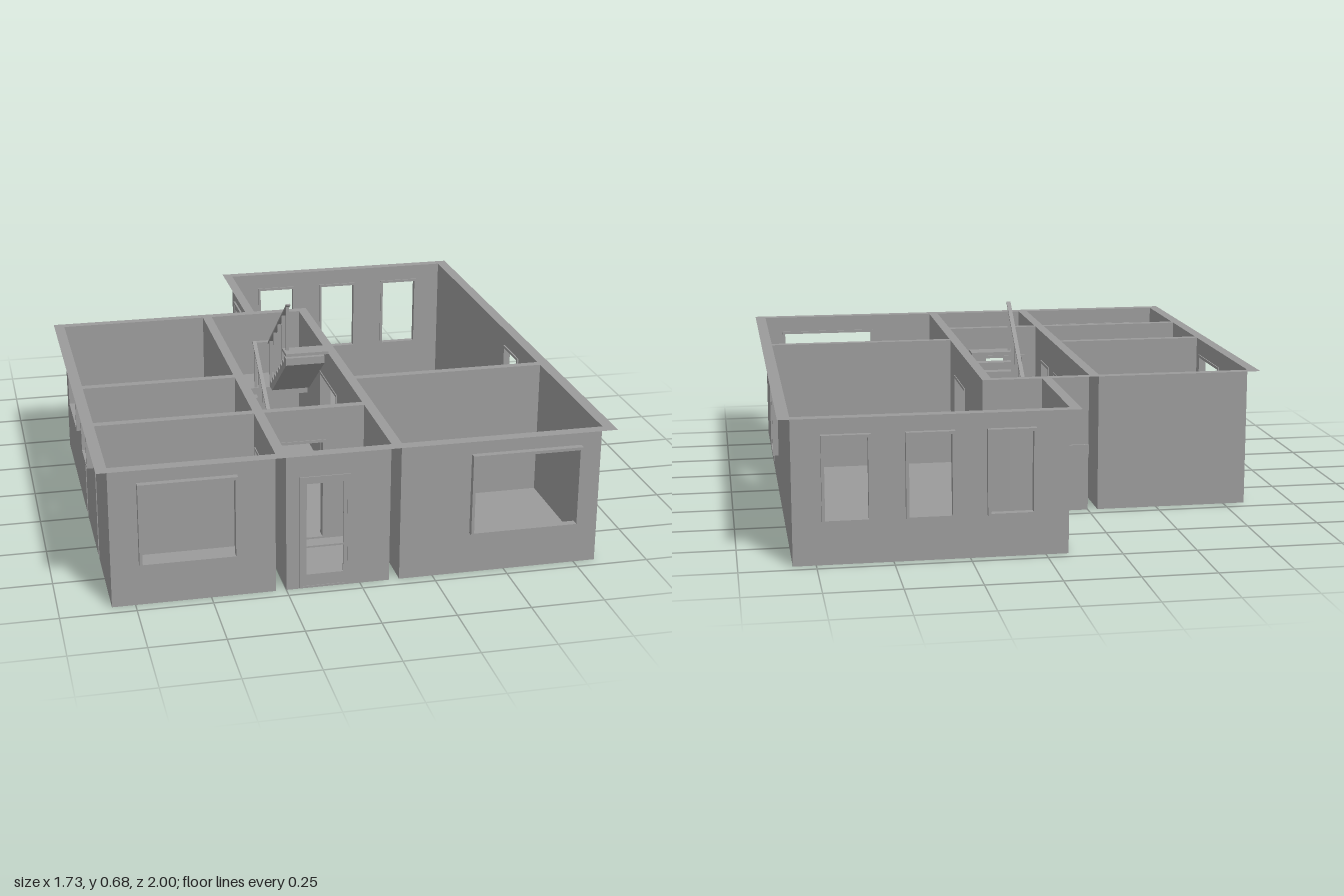
import * as THREE from 'three';

const mat = new THREE.MeshStandardMaterial({ color: 0x9b9b9b, side: THREE.DoubleSide });
const H = 0.49;

// Room outlines as [x, z] corners
const rect = (x0, x1, z0, z1) => [[x0, z0], [x1, z0], [x1, z1], [x0, z1]];
const rooms = {
  backBedroom: rect(-0.827, -0.285, -0.452, 0.21),
  bathroom: rect(-0.827, -0.285, 0.24, 0.57),
  frontBedroom: rect(-0.827, -0.285, 0.6, 0.96),
  hall: rect(-0.25, 0.1, -0.452, 0.57),
  entry: rect(-0.25, 0.1, 0.6, 0.96),
  study: rect(0.135, 0.825, 0.345, 0.96),
  livingRoom: [[-0.075, -0.963], [0.825, -0.963], [0.825, 0.315], [0.135, 0.315], [0.135, -0.485], [-0.075, -0.485]],
};
// The back bedroom floor stops just short of its rear wall
const floors = { ...rooms, backBedroom: rect(-0.827, -0.285, -0.441, 0.21) };

// Openings: name, axis the wall runs along, wall planes it cuts, span s0..s1, height y0..y1, frame depth range
const D = 0.003;
const openings = [
  ['frontBedroomWindow', 'x', [0.96], -0.735, -0.41, 0.145, 0.43, 0.955, 0.982],
  ['studyWindow', 'x', [0.96], 0.375, 0.755, 0.145, 0.43, 0.955, 0.982],
  ['frontDoorFrame', 'x', [0.96], -0.205, -0.035, D, 0.4, 0.953, 0.964],
  ['sideWindow', 'z', [0.825], -0.055, 0.11, 0.145, 0.43, 0.82, 0.845],
  ['backBedroomWindow', 'z', [-0.827], -0.1, 0.17, 0.305, 0.43, -0.85, -0.823],
  ['bathroomWindow', 'z', [-0.827], 0.355, 0.52, 0.305, 0.43, -0.85, -0.823],
  ['patioDoorFrame', 'z', [-0.075], -0.9, -0.6, D, 0.4, -0.082, -0.072],
  ['entryDoorway', 'x', [0.57, 0.6], -0.205, -0.035, D, 0.375, 0.567, 0.603],
  ['backBedroomDoorway', 'z', [-0.285, -0.25], 0.025, 0.19, D, 0.375, -0.288, -0.247],
  ['bathroomDoorway', 'z', [-0.285, -0.25], 0.28, 0.44, D, 0.375, -0.288, -0.247],
  ['frontBedroomDoorway', 'z', [-0.285, -0.25], 0.62, 0.78, D, 0.375, -0.288, -0.247],
  ['studyDoorway', 'z', [0.1, 0.135], 0.36, 0.52, D, 0.375, 0.097, 0.138],
  ['livingRoomDoorway', 'z', [0.1, 0.135], -0.07, 0.2, D, 0.375, 0.097, 0.138],
];
for (const s of [0.035, 0.3, 0.57])
  openings.push(['backWindow', 'x', [-0.963], s, s + 0.16, 0.145, 0.43, -0.983, -0.958]);

const path = (pts, Type = THREE.Shape) => new Type(pts.map(p => new THREE.Vector2(p[0], p[1])));

function add(group, name, geo) {
  const m = new THREE.Mesh(geo, mat);
  m.name = name;
  group.add(m);
  return m;
}

function box(group, name, x0, x1, y0, y1, z0, z1) {
  const m = add(group, name, new THREE.BoxGeometry(x1 - x0, y1 - y0, z1 - z0));
  m.position.set((x0 + x1) / 2, (y0 + y1) / 2, (z0 + z1) / 2);
}

// Flat horizontal sheet from [x, z] corners
function sheet(group, name, pts, y, holes = []) {
  const s = path(pts);
  s.holes = holes.map(h => path(h, THREE.Path));
  const m = add(group, name, new THREE.ShapeGeometry(s).rotateX(Math.PI / 2));
  m.position.y = y;
}

// Thin wall, pierced by every opening that lies in its plane
function wall(group, name, axis, c, a, b) {
  const [s0, s1] = [Math.min(a, b), Math.max(a, b)];
  const s = path(rect(s0, s1, 0, H));
  for (const [, ax, planes, o0, o1, y0, y1] of openings)
    if (ax === axis && planes.includes(c) && o0 > s0 && o1 < s1)
      s.holes.push(path(rect(o0, o1, y0, y1), THREE.Path));
  const m = add(group, name, new THREE.ShapeGeometry(s));
  if (axis === 'z') { m.rotation.y = -Math.PI / 2; m.position.x = c; } else m.position.z = c;
}

// Upright outline with rectangular holes, extruded from c0 to c1 across the wall
function panel(group, name, axis, outline, holes, c0, c1) {
  const s = path(outline);
  s.holes = holes.map(h => path(rect(...h), THREE.Path));
  const m = add(group, name, new THREE.ExtrudeGeometry(s, { depth: c1 - c0, bevelEnabled: false }));
  if (axis === 'z') { m.rotation.y = -Math.PI / 2; m.position.x = c1; } else m.position.z = c0;
}

// Flat bar between two points
function bar(group, name, a, b, w = 0.015, t = 0.006) {
  const p = new THREE.Vector3(...a), q = new THREE.Vector3(...b), d = q.clone().sub(p);
  const m = add(group, name, new THREE.BoxGeometry(w, d.length(), t));
  m.position.copy(p).add(q).multiplyScalar(0.5);
  m.quaternion.setFromUnitVectors(new THREE.Vector3(0, 1, 0), d.normalize());
}

// Sawtooth flight: climbs from (z0, y0) to (z1, y1)
function flight(group, name, x0, x1, z0, y0, z1, y1, n = 8) {
  const pts = [], dz = (z1 - z0) / n, dy = (y1 - y0) / (n + 1);
  for (let i = 0; i < n; i++)
    pts.push([z0 + i * dz, y0 + i * dy], [z0 + i * dz, y0 + (i + 1) * dy]);
  pts.push([z1, y0 + n * dy], [z1, y0 + (n - 1) * dy], [z0 + dz, y0]);
  panel(group, name, 'z', pts, [], x0, x1);
}

function buildStairs() {
  const g = new THREE.Group();
  g.name = 'stairs';
  flight(g, 'lowerFlight', -0.248, -0.105, 0.01, 0.004, -0.29, 0.24);
  flight(g, 'upperFlight', -0.05, 0.098, -0.29, 0.24, 0.01, 0.49);
  box(g, 'halfLanding', -0.25, 0.1, 0.205, 0.24, -0.46, -0.29);
  box(g, 'topLanding', -0.06, 0.1, 0.487, 0.498, -0.01, 0.06);
  // Handrails with posts
  bar(g, 'lowerHandrail', [-0.105, 0.165, 0.055], [-0.105, 0.42, -0.325]);
  bar(g, 'upperHandrail', [-0.045, 0.41, -0.325], [-0.045, 0.68, 0.03]);
  bar(g, 'landingHandrail', [-0.112, 0.415, -0.327], [-0.038, 0.415, -0.327], 0.006, 0.02);
  for (const z of [0.015, -0.062, -0.14, -0.218, -0.3]) {
    const foot = Math.max(0.004, (0.01 - z) * 0.8);
    bar(g, 'lowerPost', [-0.105, Math.min(foot, 0.24), z], [-0.105, 0.165 + (0.055 - z) * 0.67, z], 0.012);
    bar(g, 'upperPost', [-0.045, Math.max(0.24, 0.49 - foot), z], [-0.045, 0.68 - (0.03 - z) * 0.76, z], 0.012);
  }
  return g;
}

export function createModel() {
  const model = new THREE.Group();
  model.name = 'housePlan';

  // Rooms: floor and thin walls
  for (const [name, pts] of Object.entries(rooms)) {
    const g = new THREE.Group();
    g.name = name;
    sheet(g, 'floor', floors[name], 0.001);
    pts.forEach(([x, z], i) => {
      const [x2, z2] = pts[(i + 1) % pts.length];
      if (x === x2) wall(g, 'wall', 'z', x, z, z2);
      else wall(g, 'wall', 'x', z, x, x2);
    });
    model.add(g);
  }

  // Flat cap over the wall thicknesses
  sheet(model, 'wallCap', [[-0.865, -0.485], [-0.11, -0.485], [-0.11, -1], [0.865, -1], [0.865, 1], [-0.865, 1]],
    H, Object.values(rooms));

  // Window and door frames
  const t = 0.01;
  for (const [name, axis, , s0, s1, y0, y1, c0, c1] of openings)
    panel(model, name, axis, rect(s0, s1, y0, y1), [[s0 + t, s1 - t, y0 + 0.006, y1 - t]], c0, c1);

  // Door leaves with open panes
  panel(model, 'frontDoor', 'x', rect(-0.195, -0.045, 0.009, 0.39),
    [[-0.182, -0.058, 0.05, 0.147], [-0.182, -0.058, 0.153, 0.375]], 0.955, 0.962);
  for (const s of [-0.89, -0.75])
    panel(model, 'patioDoor', 'z', rect(s, s + 0.14, 0.009, 0.39),
      [[s + 0.015, s + 0.125, 0.05, 0.145], [s + 0.015, s + 0.125, 0.155, 0.375]], -0.08, -0.074);

  model.add(buildStairs());
  return model;
}
